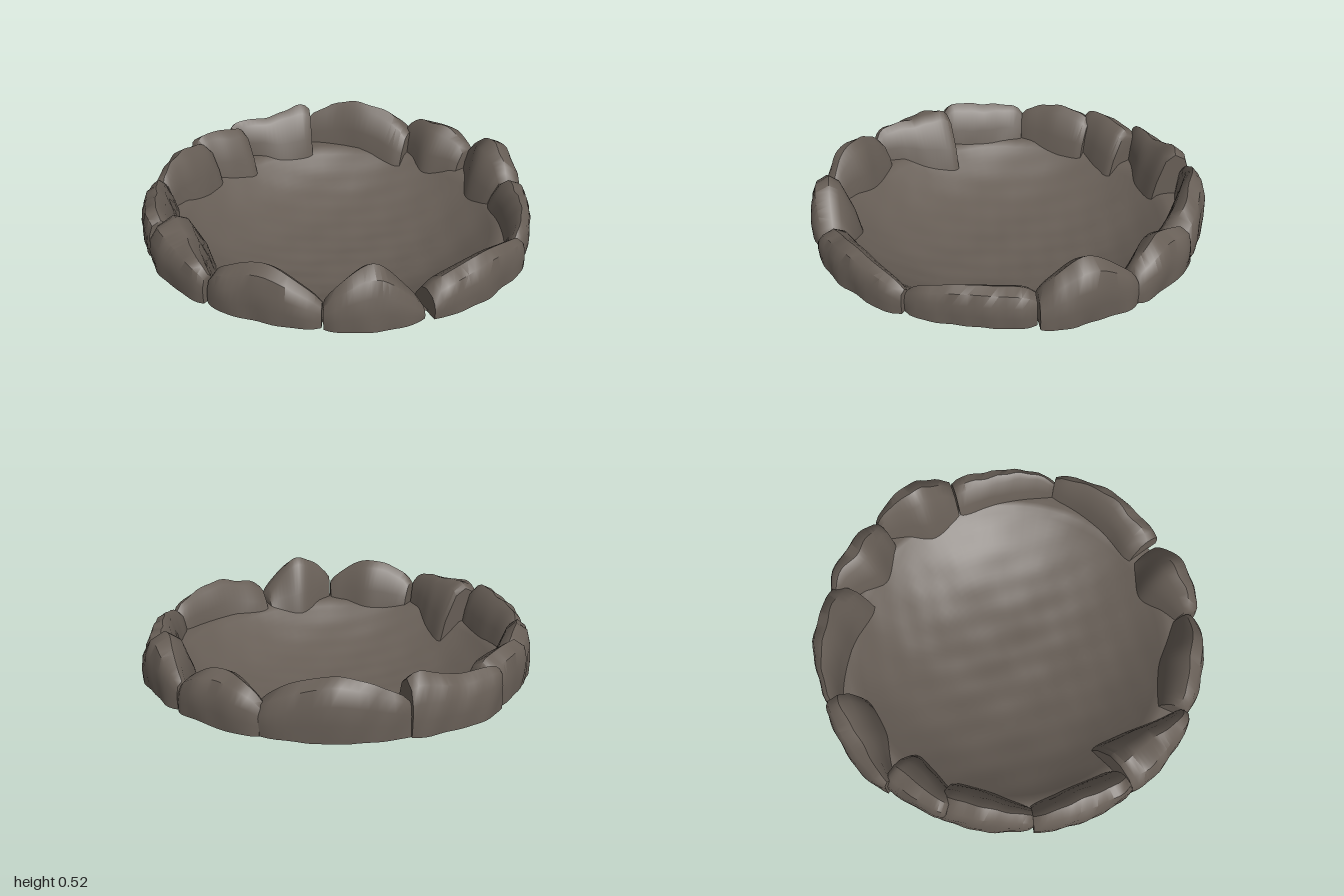
import * as THREE from 'three';
import { mergeVertices, toCreasedNormals } from 'three/addons/utils/BufferGeometryUtils.js';

const stoneMaterial = new THREE.MeshStandardMaterial({ color: 0x675e56, side: THREE.DoubleSide });
stoneMaterial.name = 'warm grey stone';

const { lerp, degToRad } = THREE.MathUtils;

const DISH_RADIUS = 0.82;
const LEDGE_RADIUS = 0.93;
const RIM_Y = 0.255;

// The bowl is a shallow dish, flat in the middle and steep towards its rim, with a level ledge under the stones
const bowlHeight = (r) => 0.014 + 0.248 * (Math.min(r, DISH_RADIUS) / DISH_RADIUS) ** 2.75;

// Smooth repeatable bumps
const bump = (x, y, z) =>
  Math.sin(x * 13 + z * 7 + 1) * Math.sin(z * 15 - x * 5 + y * 9) * 0.6 +
  Math.sin(x * 29 - z * 17 + y * 21) * Math.sin(z * 31 + x * 11) * 0.4;

// Cross-section of a stone: [inner-to-outer fraction, base-to-top fraction]
const SECTION = [[1, 0], [1.01, 0.3], [0.98, 0.6], [0.86, 0.87], [0.57, 1], [0.34, 0.87], [0.11, 0.38], [0, 0]];

// Start and end angle from +x towards +z, outer radius, then inner radius and top height at start, middle and end
const STONES = [
  { span: [89.5, 115.5], outer: 0.99, inner: [0.8, 0.75, 0.86], top: [0.36, 0.52, 0.42] },
  { span: [49, 87.5], outer: 0.995, inner: [0.88, 0.83, 0.79], top: [0.4, 0.45, 0.4] },
  { span: [14, 49], outer: 0.97, inner: [0.79, 0.83, 0.88], top: [0.42, 0.43, 0.39] },
  { span: [-14, 13.5], outer: 0.995, inner: [0.88, 0.76, 0.79], top: [0.42, 0.53, 0.43] },
  { span: [-41, -14], outer: 0.985, inner: [0.87, 0.76, 0.82], top: [0.44, 0.49, 0.42] },
  { span: [-79, -39], outer: 0.98, inner: [0.9, 0.82, 0.74], top: [0.45, 0.53, 0.42] },
  { span: [-109, -79], outer: 0.99, inner: [0.9, 0.78, 0.77], top: [0.48, 0.47, 0.53] },
  { span: [-128, -107], outer: 0.965, inner: [0.82, 0.76, 0.73], top: [0.48, 0.48, 0.46] },
  { span: [-153, -125], outer: 0.965, inner: [0.84, 0.77, 0.76], top: [0.44, 0.48, 0.46] },
  { span: [-183, -153], outer: 0.98, inner: [0.82, 0.8, 0.83], top: [0.48, 0.47, 0.44] },
  { span: [148.5, 176.5], outer: 0.99, inner: [0.88, 0.74, 0.67], top: [0.43, 0.47, 0.49] },
  { span: [116, 148], outer: 0.975, inner: [0.85, 0.78, 0.81], top: [0.4, 0.5, 0.42] },
];

function createBowl() {
  const rings = 32;
  const profile = Array.from({ length: rings + 1 }, (_, i) => {
    const r = (LEDGE_RADIUS * i) / rings;
    return new THREE.Vector2(r, bowlHeight(r));
  });
  let geo = new THREE.LatheGeometry(profile, 72);
  geo.deleteAttribute('uv');
  geo.deleteAttribute('normal');
  geo = mergeVertices(geo);
  const p = geo.attributes.position;
  for (let i = 0; i < p.count; i++) {
    p.setY(i, Math.max(0, p.getY(i) + 0.006 * bump(p.getX(i), 0, p.getZ(i))));
  }
  geo.computeVertexNormals();
  const bowl = new THREE.Mesh(geo, stoneMaterial);
  bowl.name = 'bowl';
  return bowl;
}

// A hollow stone swept around the rim, open underneath, with closed ends
function createStone({ span, outer, inner, top }, index) {
  const curve = new THREE.SplineCurve(inner.map((r, i) => new THREE.Vector2(r, top[i])));
  const steps = 18, n = SECTION.length;
  const positions = [], indices = [];
  for (let i = 0; i <= steps; i++) {
    const t = i / steps;
    const { x: innerRadius, y: height } = curve.getPoint(t);
    // Round off both ends
    const taper = Math.abs(2 * t - 1) ** 8;
    const r0 = innerRadius + 0.015 * taper, r1 = outer - 0.015 * taper;
    const crest = height - 0.04 * taper;
    const angle = degToRad(lerp(...span, t));
    const cos = Math.cos(angle), sin = Math.sin(angle);
    for (const [u, v] of SECTION) {
      const r = lerp(r0, r1, u);
      const y = lerp(lerp(bowlHeight(r0), RIM_Y, u), crest, v);
      const b = bump(r * cos, y + index, r * sin);
      // The inner foot stays on the bowl
      const bumpedR = r + 0.012 * b * Math.min(1, u * 5);
      positions.push(bumpedR * cos, y + 0.012 * b * v, bumpedR * sin);
    }
  }
  for (let i = 0; i < steps; i++) {
    for (let j = 0; j < n - 1; j++) {
      const a = i * n + j, b = a + n;
      indices.push(a, a + 1, b, b, a + 1, b + 1);
    }
  }
  // End faces: strips between the outer and inner halves of the section
  for (const [row, flip] of [[0, false], [steps * n, true]]) {
    for (let j = 0; j < n / 2 - 1; j++) {
      const a = row + j, b = a + 1, c = row + n - 1 - j, d = c - 1;
      if (flip) indices.push(a, b, c, b, d, c);
      else indices.push(a, c, b, b, c, d);
    }
  }
  const geo = new THREE.BufferGeometry();
  geo.setAttribute('position', new THREE.Float32BufferAttribute(positions, 3));
  geo.setIndex(indices);
  const stone = new THREE.Mesh(toCreasedNormals(geo, degToRad(45)), stoneMaterial);
  stone.name = `rimStone${index + 1}`;
  return stone;
}

export function createModel() {
  const model = new THREE.Group();
  model.name = 'stoneFirePit';
  const ring = new THREE.Group();
  ring.name = 'stoneRing';
  STONES.forEach((data, i) => ring.add(createStone(data, i)));
  model.add(createBowl(), ring);
  return model;
}
